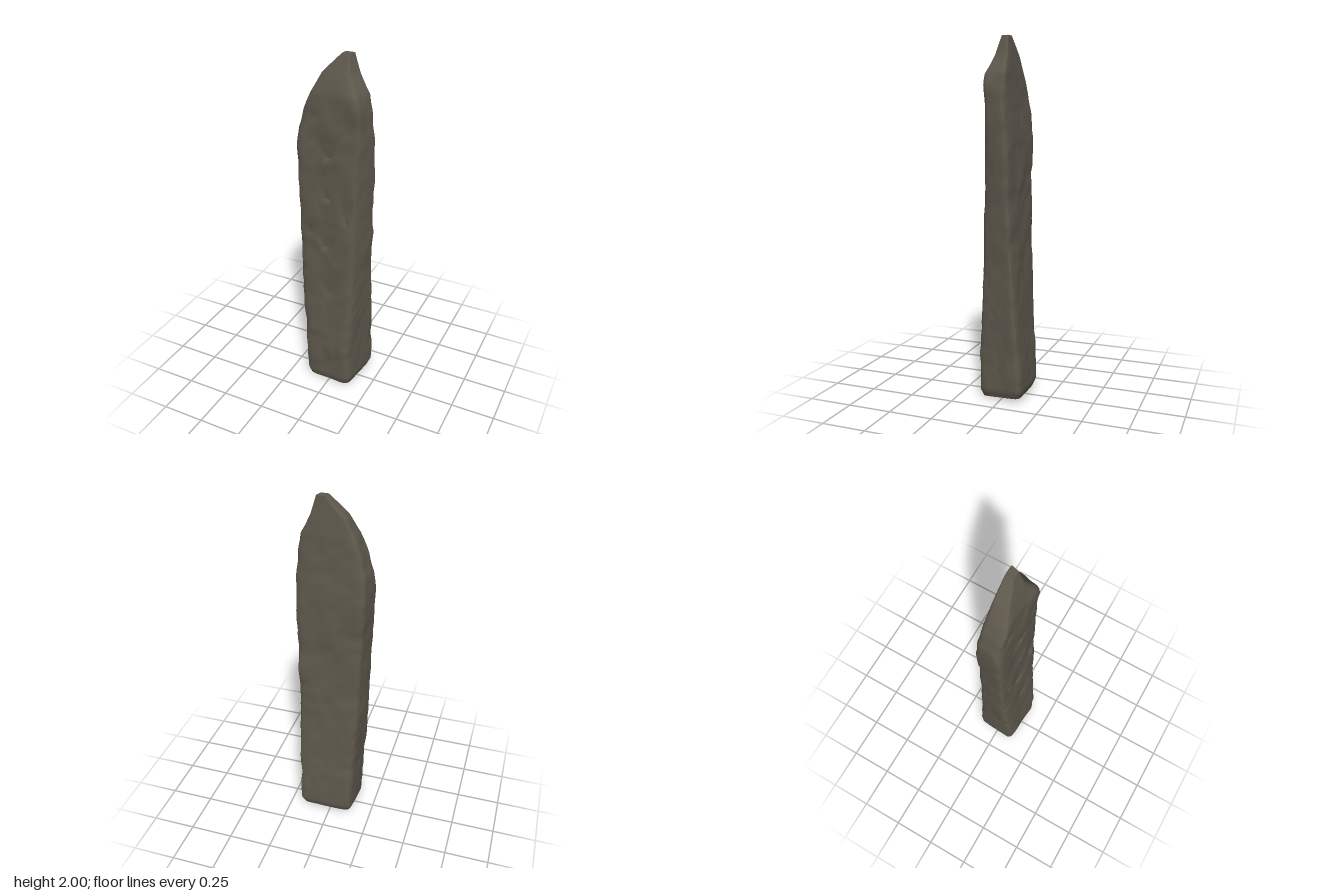
import * as THREE from 'three';
import { toCreasedNormals } from 'three/addons/utils/BufferGeometryUtils.js';

// Height, then x,z of the front-left, front-right, back-right and back-left corners (as seen from the front)
const LEVELS = [
  [0.00, -0.138, 0.102, 0.125, 0.118, 0.170, -0.122, -0.122, -0.112],
  [0.04, -0.152, 0.110, 0.137, 0.132, 0.187, -0.137, -0.137, -0.127],
  [0.25, -0.160, 0.110, 0.137, 0.136, 0.190, -0.127, -0.138, -0.124],
  [0.50, -0.178, 0.096, 0.140, 0.117, 0.189, -0.102, -0.150, -0.107],
  [0.75, -0.189, 0.086, 0.142, 0.107, 0.192, -0.087, -0.160, -0.094],
  [1.00, -0.195, 0.081, 0.146, 0.101, 0.196, -0.072, -0.166, -0.087],
  [1.30, -0.205, 0.079, 0.152, 0.097, 0.202, -0.066, -0.172, -0.085],
  [1.50, -0.209, 0.076, 0.162, 0.092, 0.205, -0.056, -0.176, -0.082],
  [1.60, -0.199, 0.073, 0.167, 0.090, 0.205, -0.051, -0.172, -0.074],
  [1.70, -0.167, 0.071, 0.162, 0.090, 0.189, -0.046, -0.152, -0.061],
  [1.80, -0.122, 0.069, 0.142, 0.087, 0.168, -0.041, -0.117, -0.051],
  [1.90, -0.067, 0.046, 0.090, 0.051, 0.120, -0.036, -0.067, -0.041],
  [2.00, 0.030, 0.012, 0.075, 0.015, 0.088, -0.029, 0.035, -0.031],
];

// Flaked hollows in the front face: x, y, half width, height, depth (deepest at the pointed lower end)
const CHIPS = [
  [-0.02, 1.45, 0.07, 0.13, 0.014], [-0.10, 1.66, 0.04, 0.06, 0.008],
  [0.10, 1.60, 0.05, 0.16, 0.010], [-0.02, 1.21, 0.08, 0.21, 0.013],
  [0.09, 1.10, 0.05, 0.22, 0.012], [-0.03, 0.91, 0.08, 0.18, 0.014],
  [-0.13, 0.98, 0.05, 0.10, 0.009], [0.00, 0.62, 0.09, 0.20, 0.008],
  [0.05, 0.12, 0.02, 0.22, 0.008], [-0.12, 0.06, 0.05, 0.08, 0.006],
];

const RINGS = 100, SIDES = 72;

function cornersAt(y) {
  let k = 0;
  while (k < LEVELS.length - 2 && LEVELS[k + 1][0] < y) k++;
  const a = LEVELS[k], b = LEVELS[k + 1];
  const t = (y - a[0]) / (b[0] - a[0]);
  return a.map((v, i) => v + (b[i] - v) * t);
}

// Seeded lattice noise in the range -1 to 1
function hash(x, y, z) {
  const s = Math.sin(x * 127.1 + y * 311.7 + z * 74.7) * 43758.5453;
  return (s - Math.floor(s)) * 2 - 1;
}
function noise(x, y, z) {
  const base = [x, y, z].map(Math.floor);
  const f = [x, y, z].map((v, i) => { const t = v - base[i]; return t * t * (3 - 2 * t); });
  let sum = 0;
  for (let c = 0; c < 8; c++) {
    const o = [c & 1, (c >> 1) & 1, c >> 2];
    const w = o.reduce((p, bit, i) => p * (bit ? f[i] : 1 - f[i]), 1);
    sum += w * hash(base[0] + o[0], base[1] + o[1], base[2] + o[2]);
  }
  return sum;
}

// One weathered point on the surface
function stonePoint(y, angle) {
  const [, flx, flz, frx, frz, brx, brz, blx, blz] = cornersAt(y);
  const c = Math.cos(angle), s = -Math.sin(angle), p = 9;
  const r = 1 / Math.pow(Math.abs(c) ** p + Math.abs(s) ** p, 1 / p);
  const u = (c * r + 1) / 2, v = (s * r + 1) / 2;
  let x = v * (flx + (frx - flx) * u) + (1 - v) * (blx + (brx - blx) * u);
  let z = v * (flz + (frz - flz) * u) + (1 - v) * (blz + (brz - blz) * u);

  // Broad undulation, calmer at the tip and the foot
  const calm = Math.min(1, (2 - y) * 4, 0.3 + y * 5);
  const bump = (noise(x * 11, y * 8, z * 11 + 5) * 0.006 + noise(x * 25, y * 20, z * 25) * 0.003) * calm;
  x += (u - 0.5) * 2 * bump;
  z += (v - 0.5) * 2 * bump;

  if (v > 0.9) {
    for (const [cx, cy, w, h, depth] of CHIPS) {
      const t = (y - cy) / h;
      const reach = w * Math.min(1, 0.3 + t * 1.8);
      const d = Math.abs(x - cx) / reach;
      if (t >= 0 && t < 1 && d < 1) z -= depth * (1 - t) * Math.min(1, (1 - d) * 2);
    }
  }

  // The foot is cut at a slant
  const slant = Math.max(0, 1 - y / 0.3) * (0.014 - 0.1 * z + 0.03 * x);
  return [x, Math.max(0, y + slant), z];
}

function createStoneGeometry() {
  const positions = [], indices = [];
  for (let j = 0; j <= RINGS; j++) {
    for (let i = 0; i < SIDES; i++) {
      positions.push(...stonePoint((2 * j) / RINGS, (i / SIDES) * Math.PI * 2));
    }
  }
  for (let j = 0; j < RINGS; j++) {
    for (let i = 0; i < SIDES; i++) {
      const a = j * SIDES + i, b = j * SIDES + (i + 1) % SIDES;
      indices.push(a, b, b + SIDES, a, b + SIDES, a + SIDES);
    }
  }
  // Close the foot and the blunt tip
  const foot = positions.length / 3;
  positions.push(0.01, 0.014, 0, 0.057, 2, -0.008);
  const top = RINGS * SIDES;
  for (let i = 0; i < SIDES; i++) {
    const n = (i + 1) % SIDES;
    indices.push(foot, n, i, foot + 1, top + i, top + n);
  }
  const geometry = new THREE.BufferGeometry();
  geometry.setAttribute('position', new THREE.Float32BufferAttribute(positions, 3));
  geometry.setIndex(indices);
  return toCreasedNormals(geometry, 0.6);
}

export function createModel() {
  const group = new THREE.Group();
  group.name = 'standingStone';
  const stone = new THREE.MeshStandardMaterial({ color: 0x5f594d });
  stone.name = 'weatheredStone';
  const mesh = new THREE.Mesh(createStoneGeometry(), stone);
  mesh.name = 'stoneSlab';
  group.add(mesh);
  return group;
}
